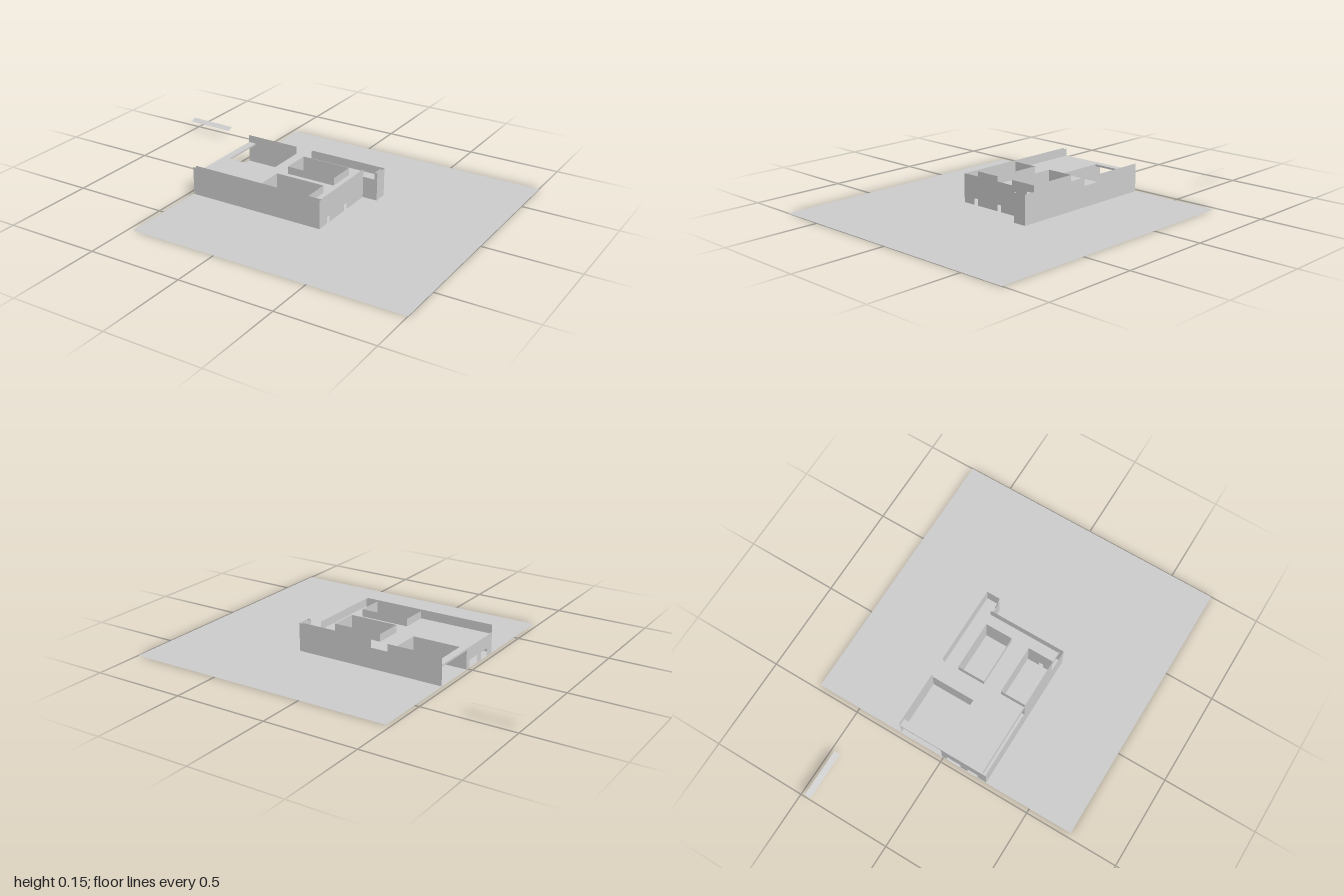
import * as THREE from 'three';

const material = new THREE.MeshStandardMaterial({ color: 0xcccccc, side: THREE.DoubleSide, flatShading: true });

const path = (points) => points.map(([a, b]) => new THREE.Vector2(a, b));

export function createModel() {
  const model = new THREE.Group();

  function add(name, geometry, parent = model) {
    const mesh = new THREE.Mesh(geometry, material);
    mesh.name = name;
    parent.add(mesh);
    return mesh;
  }

  // Horizontal sheet from an outline in x and z
  function slab(name, y, outline, holes = []) {
    const flip = (pts) => path(pts.map(([x, z]) => [x, -z]));
    const shape = new THREE.Shape(flip(outline));
    holes.forEach((h) => shape.holes.push(new THREE.Path(flip(h))));
    const mesh = add(name, new THREE.ShapeGeometry(shape).rotateX(-Math.PI / 2));
    mesh.position.y = y;
    return mesh;
  }

  // Upright sheet from a to b (x, z); doors are [start, end, height] along it
  function wall(name, a, b, y0, y1, doors = []) {
    const dx = b[0] - a[0], dz = b[1] - a[1], length = Math.hypot(dx, dz);
    const pts = [[0, y0]];
    doors.forEach(([s, e, h]) => pts.push([s, y0], [s, h], [e, h], [e, y0]));
    pts.push([length, y0], [length, y1], [0, y1]);
    const mesh = add(name, new THREE.ShapeGeometry(new THREE.Shape(path(pts))));
    mesh.position.set(a[0], 0, a[1]);
    mesh.rotation.y = Math.atan2(-dz, dx);
    return mesh;
  }

  const deckY = 0.11, top = 0.15, doorH = 0.035;
  const rect = (x0, z0, x1, z1) => [[x0, z0], [x1, z0], [x1, z1], [x0, z1]];

  // Ground sheet
  slab('ground', 0, rect(-0.475, -0.74, 1, 0.735));

  // Deck with courtyard cut-out and two light wells
  slab('deck', deckY, [
    [-0.47, -0.01], [-0.17, -0.01], [-0.17, -0.25], [-0.07, -0.25], [-0.07, -0.24],
    [0.34, -0.24], [0.34, -0.18], [0.27, -0.18], [0.27, 0.23], [0.2, 0.23],
    [0.2, 0.09], [-0.07, 0.09], [-0.07, 0.23], [-0.47, 0.23],
  ], [rect(-0.07, -0.16, 0.2, -0.01)]);

  // Beam along the open courtyard side
  const beam = add('courtyardBeam', new THREE.BoxGeometry(0.04, 0.01, 0.495));
  beam.position.set(-0.452, deckY - 0.005, -0.0025);

  // Outer walls
  wall('frontWall', [-0.472, 0.25], [0.275, 0.25], 0, top);
  wall('rightWall', [0.275, 0.25], [0.275, -0.175], 0, top, [[0.07, 0.095, doorH], [0.235, 0.26, doorH]]);
  wall('bayFront', [0.275, -0.175], [0.355, -0.175], 0, deckY);
  wall('bayFrontPost', [0.34, -0.175], [0.355, -0.175], deckY, top);
  wall('baySide', [0.355, -0.175], [0.355, -0.25], 0, top);
  wall('backWall', [0.355, -0.25], [-0.07, -0.25], 0, top);
  wall('backWallLow', [-0.07, -0.25], [-0.17, -0.25], 0, deckY);
  wall('courtyardBackWall', [-0.17, -0.25], [-0.472, -0.25], 0, top);
  wall('leftWall', [-0.472, -0.01], [-0.472, 0.25], 0, deckY, [[0.03, 0.11, 0.04], [0.15, 0.21, 0.04]]);

  // Door lintels
  [0.1675, 0.0025].forEach((z) => {
    slab('doorLintel', doorH, rect(0.27, z - 0.0125, 0.275, z + 0.0125));
  });

  // Inner faces of the parapet
  wall('frontParapet', [-0.47, 0.23], [0.27, 0.23], deckY, top);
  wall('rightParapet', [0.27, 0.23], [0.27, -0.18], deckY, top);
  wall('bayParapet', [0.34, -0.18], [0.34, -0.24], deckY, top);
  wall('backParapet', [0.34, -0.24], [-0.07, -0.24], deckY, top);

  // Courtyard walls
  wall('courtyardRightWall', [-0.17, -0.25], [-0.17, -0.01], 0, deckY);
  wall('courtyardFrontWall', [-0.472, -0.01], [-0.17, -0.01], 0, deckY);

  // Light wells
  [[-0.16, -0.01, []], [0.09, 0.23, [[0.065, 0.09, doorH]]]].forEach(([z0, z1, doors]) => {
    wall('wellBack', [-0.07, z0], [0.2, z0], 0, top);
    wall('wellFront', [-0.07, z1], [0.2, z1], 0, top);
    [-0.07, 0.2].forEach((x) => wall('wellSide', [x, z0], [x, z1], 0, top, doors));
  });

  // Detached thin slat, tilted
  const slat = add('slat', new THREE.PlaneGeometry(0.26, 0.033).rotateX(-Math.PI / 2));
  slat.position.set(-0.87, 0.06, -0.45);
  slat.rotation.set(0.43, 0, -0.015);

  return model;
}
